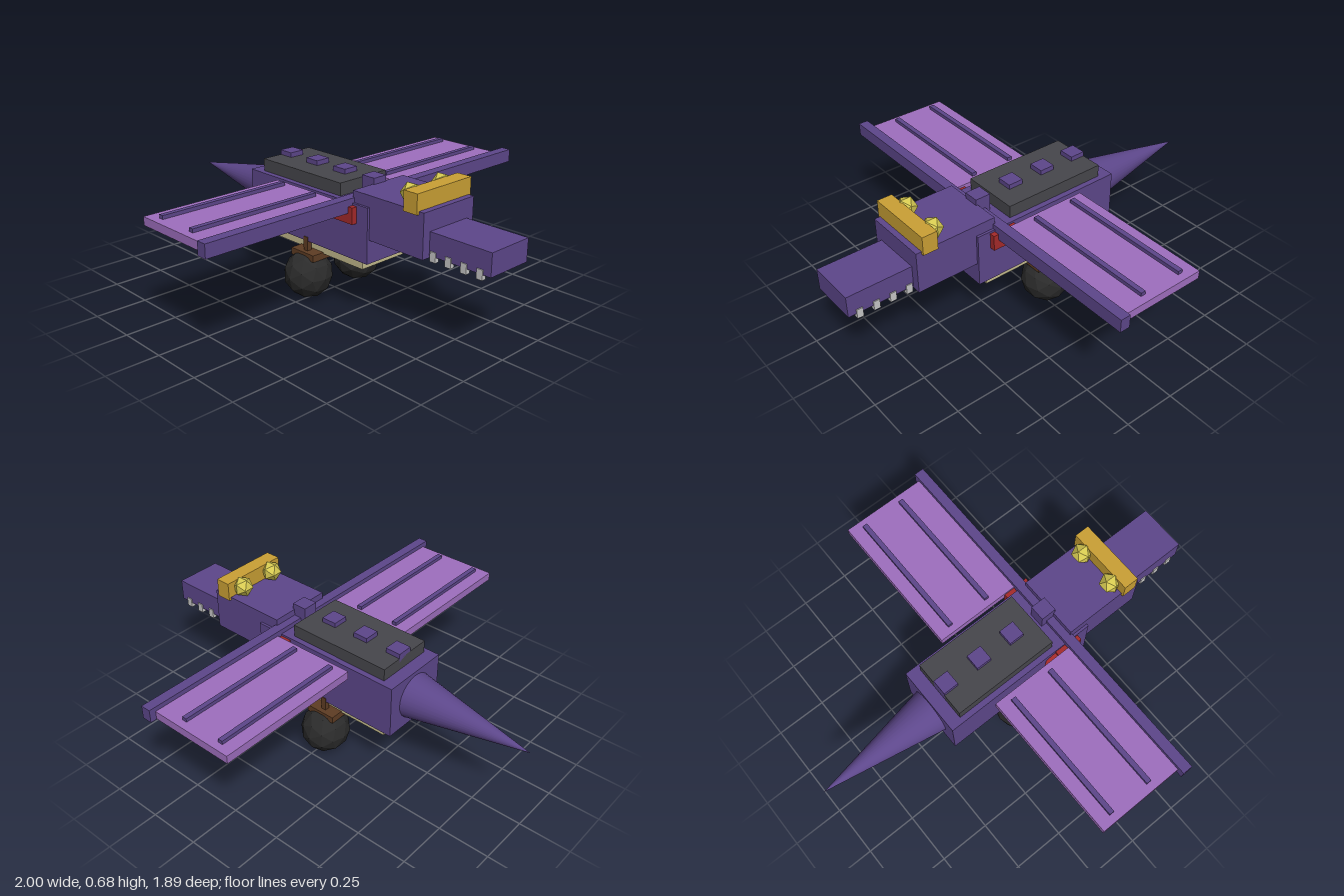
import * as THREE from 'three';

const paint = (name, color) => {
  const m = new THREE.MeshStandardMaterial({ color });
  m.name = name;
  return m;
};

export function createModel() {
  const purple = paint('purple hide', 0x5d478b);
  const lilac = paint('lilac wing', 0x9f6fbf);
  const gold = paint('gold brow', 0xcba135);
  const yellow = paint('yellow eye', 0xd8cb52);
  const slate = paint('slate plate', 0x47474c);
  const tan = paint('tan belly', 0xc5bc8e);
  const red = paint('red arm', 0xa52a2a);
  const brown = paint('brown axle', 0x5f3d24);
  const black = paint('black wheel', 0x2b2b2b);
  const white = paint('pale tooth', 0xc8c8c8);

  const group = new THREE.Group();
  const add = (name, geometry, material, x, y, z) => {
    const mesh = new THREE.Mesh(geometry, material);
    mesh.name = name;
    mesh.position.set(x, y, z);
    group.add(mesh);
    return mesh;
  };
  // Box given by its extents on each axis
  const box = (name, material, [x0, x1], [y0, y1], [z0, z1]) =>
    add(name, new THREE.BoxGeometry(x1 - x0, y1 - y0, z1 - z0), material,
      (x0 + x1) / 2, (y0 + y1) / 2, (z0 + z1) / 2);
  // Matching boxes on both sides of the body
  const pair = (name, material, xs, ys, [z0, z1]) => {
    box(name + 'Front', material, xs, ys, [z0, z1]);
    box(name + 'Back', material, xs, ys, [-z1, -z0]);
  };

  // Body, head and snout
  box('body', purple, [-0.405, 0.38], [0.28, 0.54], [-0.17, 0.17]);
  box('head', purple, [0.28, 0.685], [0.39, 0.594], [-0.158, 0.158]);
  box('snout', purple, [0.66, 1], [0.4, 0.505], [-0.117, 0.117]);
  box('belly', tan, [-0.34, 0.315], [0.226, 0.285], [-0.132, 0.132]);

  // Pointed tail
  const tail = new THREE.ConeGeometry(0.122, 0.67, 32).rotateZ(Math.PI / 2);
  add('tail', tail, purple, -0.665, 0.412, 0);

  // Back plate and ridge bumps
  box('backPlate', slate, [-0.342, 0.185], [0.535, 0.6], [-0.143, 0.143]);
  for (let i = 0; i < 4; i++) {
    const x = -0.304 + i * 0.185;
    box('ridgeBump', purple, [x - 0.038, x + 0.038], [0.53, 0.623], [-0.038, 0.038]);
  }

  // Brow bar and faceted eyes
  box('brow', gold, [0.583, 0.657], [0.58, 0.671], [-0.17, 0.17]);
  for (const s of [-1, 1]) {
    const eye = new THREE.IcosahedronGeometry(0.05, 0);
    add('eye', eye, yellow, 0.56, 0.635, s * 0.096);
  }

  // Teeth along both sides of the snout
  for (let i = 0; i < 4; i++) {
    const x = 0.707 + i * 0.08;
    pair('tooth', white, [x - 0.015, x + 0.015], [0.377, 0.422], [0.1, 0.122]);
  }

  // Wings, ribs and leading spar
  pair('wing', lilac, [-0.182, 0.245], [0.502, 0.541], [0.193, 0.917]);
  for (const x of [-0.107, 0.104]) {
    pair('wingRib', purple, [x - 0.012, x + 0.012], [0.52, 0.558], [0.225, 0.88]);
  }
  box('wingSpar', purple, [0.241, 0.29], [0.5, 0.563], [-0.947, 0.947]);

  // Shoulders and the single reaching forearm
  pair('shoulder', red, [0.185, 0.315], [0.453, 0.53], [0.15, 0.197]);
  const start = new THREE.Vector3(0.21, 0.505, 0.15);
  const end = new THREE.Vector3(0.025, 0.445, 0.268);
  const forearm = add('forearm', new THREE.BoxGeometry(0.05, 0.042, start.distanceTo(end)), red,
    ...start.clone().add(end).multiplyScalar(0.5).toArray());
  forearm.lookAt(end);

  // Axle, struts and faceted wheels
  box('axle', brown, [-0.09, 0.062], [0.2, 0.233], [-0.197, 0.197]);
  pair('strut', brown, [-0.028, -0.002], [0.2, 0.3], [0.148, 0.174]);
  for (const s of [-1, 1]) {
    const wheel = new THREE.IcosahedronGeometry(0.117, 1);
    add('wheel', wheel, black, -0.014, 0.116, s * 0.159);
  }

  group.position.z = -0.003;
  black.flatShading = yellow.flatShading = true;
  return group;
}
